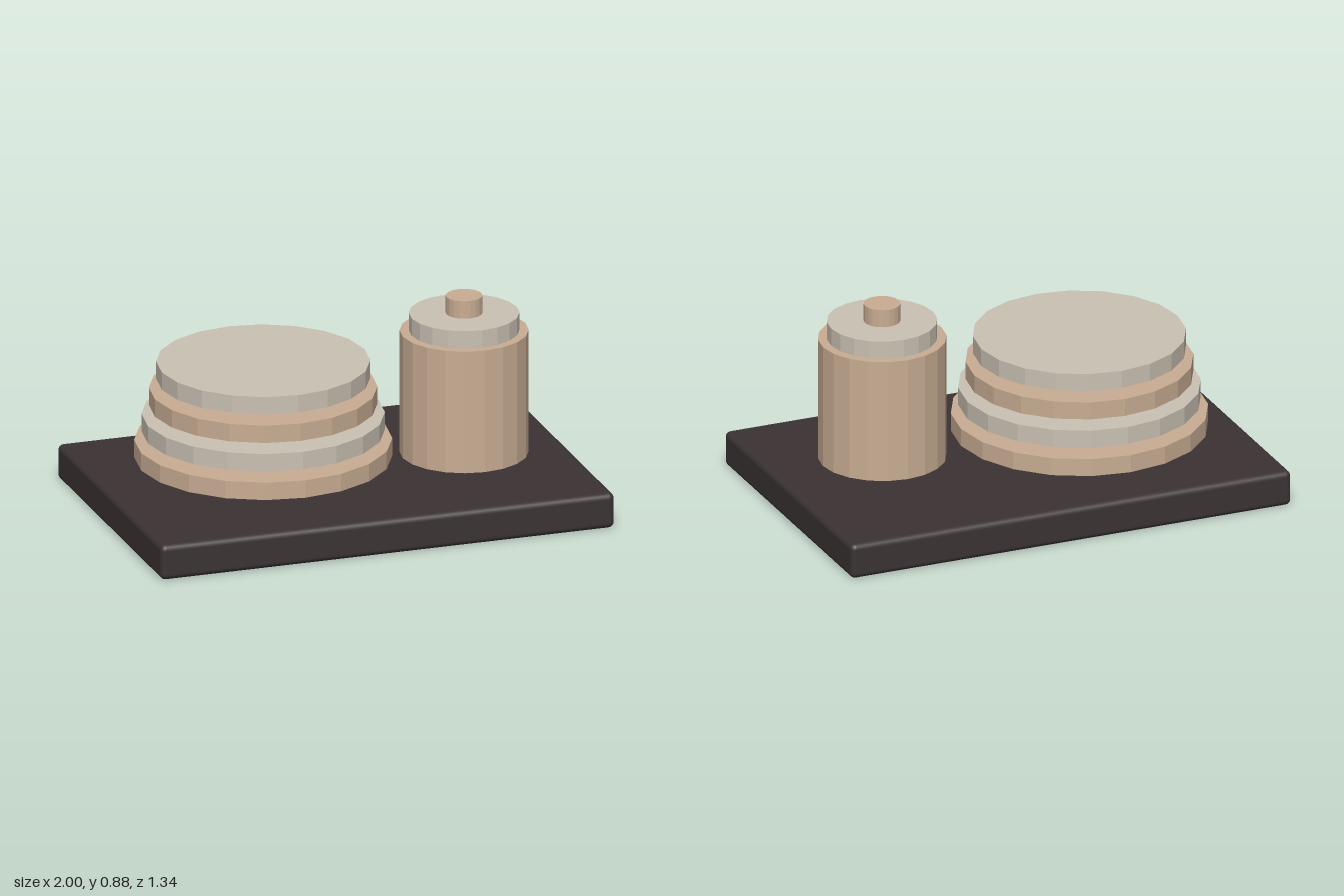
import * as THREE from 'three';
import { RoundedBoxGeometry } from 'three/addons/geometries/RoundedBoxGeometry.js';
import { toCreasedNormals } from 'three/addons/utils/BufferGeometryUtils.js';

const U = 1 / 13; // base module: the tray is 26 modules long
const SIDES = 20;

function material(name, color) {
  const m = new THREE.MeshStandardMaterial({ color });
  m.name = name;
  return m;
}

// Faceted disc or cylinder standing on height y
function drum(name, radius, height, y, mat) {
  const geo = new THREE.CylinderGeometry(radius * U, radius * U, height * U, SIDES);
  const mesh = new THREE.Mesh(toCreasedNormals(geo, 0.1), mat);
  mesh.name = name;
  mesh.position.y = (y + height / 2) * U;
  return mesh;
}

export function createModel() {
  const tan = material('tan', 0xc9ad93);
  const cream = material('cream', 0xcac1b3);
  const dark = material('dark brown', 0x3b3333);

  const model = new THREE.Group();
  model.name = 'trayWithStackAndJar';

  // Rounded slab
  const tray = new THREE.Mesh(new RoundedBoxGeometry(26 * U, 2 * U, 17.45 * U, 3, 0.025), dark);
  tray.name = 'tray';
  tray.position.y = U;
  model.add(tray);

  // Four spaced plates, each narrower than the one below
  const stack = new THREE.Group();
  stack.name = 'plateStack';
  stack.position.set(-4 * U, 0, -0.5 * U);
  for (let i = 0; i < 4; i++) {
    stack.add(drum(`plate${i + 1}`, 7 - 0.4 * i, 1, 3 + 1.5 * i, i % 2 ? cream : tan));
  }
  model.add(stack);

  // Jar with lid and knob
  const jar = new THREE.Group();
  jar.name = 'jar';
  jar.position.set(7 * U, 0, U);
  jar.add(
    drum('jarBody', 3.5, 7, 2.5, tan),
    drum('jarLid', 3, 1, 9.5, cream),
    drum('lidKnob', 1, 1, 10.5, tan)
  );
  model.add(jar);

  return model;
}
